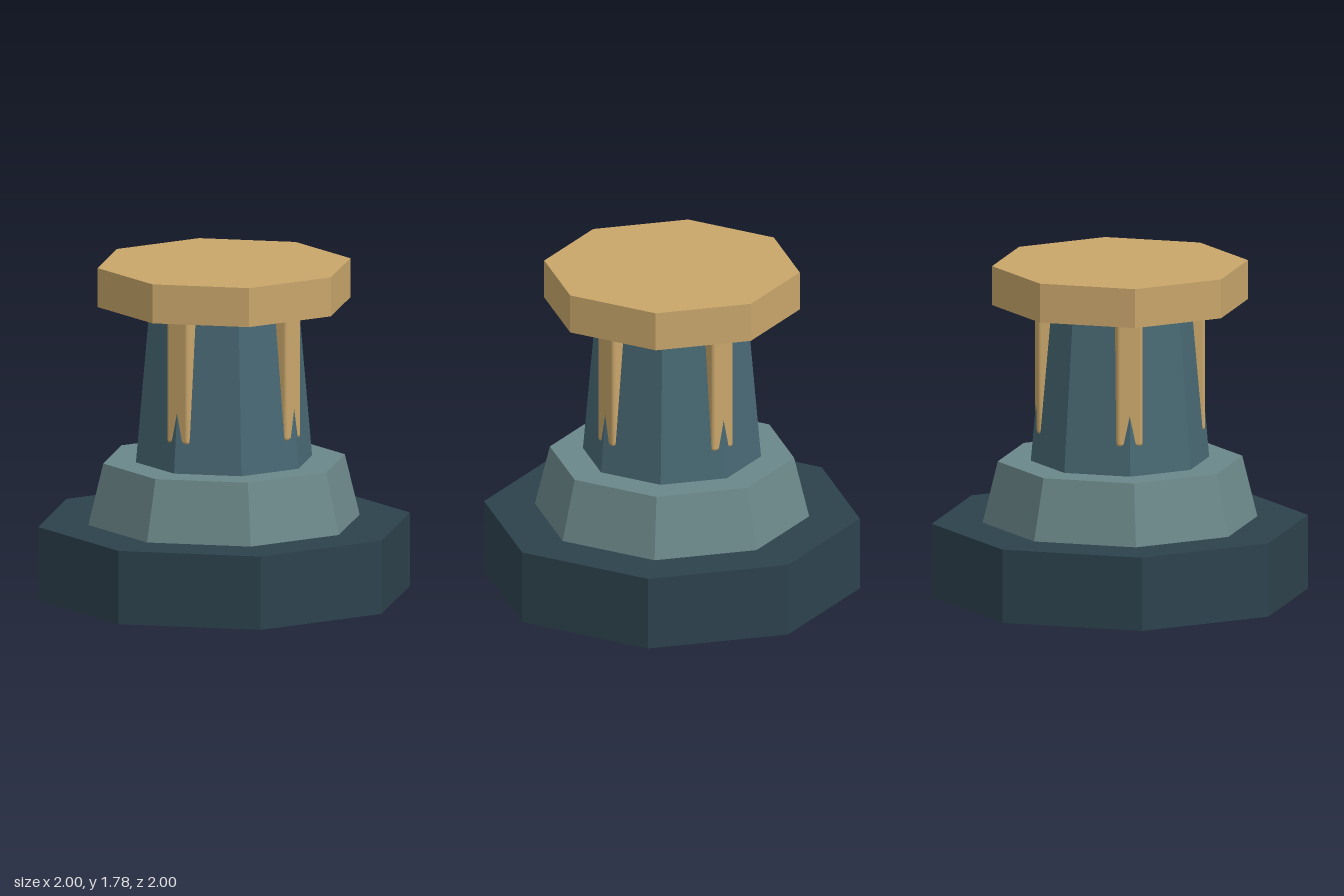
import * as THREE from 'three';
import { RoundedBoxGeometry } from 'three/addons/geometries/RoundedBoxGeometry.js';

const material = (color) => new THREE.MeshStandardMaterial({ color, flatShading: true });

// Octagonal tier with corners on the axes, from height y0 to y1
function tier(name, bottomRadius, topRadius, y0, y1, mat) {
  const mesh = new THREE.Mesh(new THREE.CylinderGeometry(topRadius, bottomRadius, y1 - y0, 8), mat);
  mesh.position.y = (y0 + y1) / 2;
  mesh.name = name;
  return mesh;
}

export function createModel() {
  const model = new THREE.Group();
  model.name = 'pedestal';
  const gold = material(0xc9a66b);

  // Stacked octagonal body
  model.add(
    tier('base', 1, 1, 0, 0.395, material(0x2d424d)),
    tier('plinth', 0.73, 0.65, 0.395, 0.723, material(0x6b8789)),
    tier('column', 0.474, 0.4, 0.723, 1.567, material(0x486873)),
    tier('cap', 0.68, 0.68, 1.567, 1.777, gold),
  );

  // Upright rounded ribs on the four axis corners; the flaring column swallows their feet
  const width = 0.14, depth = 0.14, bottom = 0.875, top = 1.62, outer = 0.446;
  const ribGeometry = new RoundedBoxGeometry(width, top - bottom, depth, 4, 0.02);
  const ribMaterial = gold.clone();
  ribMaterial.flatShading = false;
  const ribs = new THREE.Group();
  ribs.name = 'ribs';
  for (let i = 0; i < 4; i++) {
    const a = (i * Math.PI) / 2;
    const r = outer - depth / 2;
    const rib = new THREE.Mesh(ribGeometry, ribMaterial);
    rib.position.set(Math.sin(a) * r, (top + bottom) / 2, Math.cos(a) * r);
    rib.rotation.y = a;
    rib.name = 'rib';
    ribs.add(rib);
  }
  model.add(ribs);
  return model;
}
